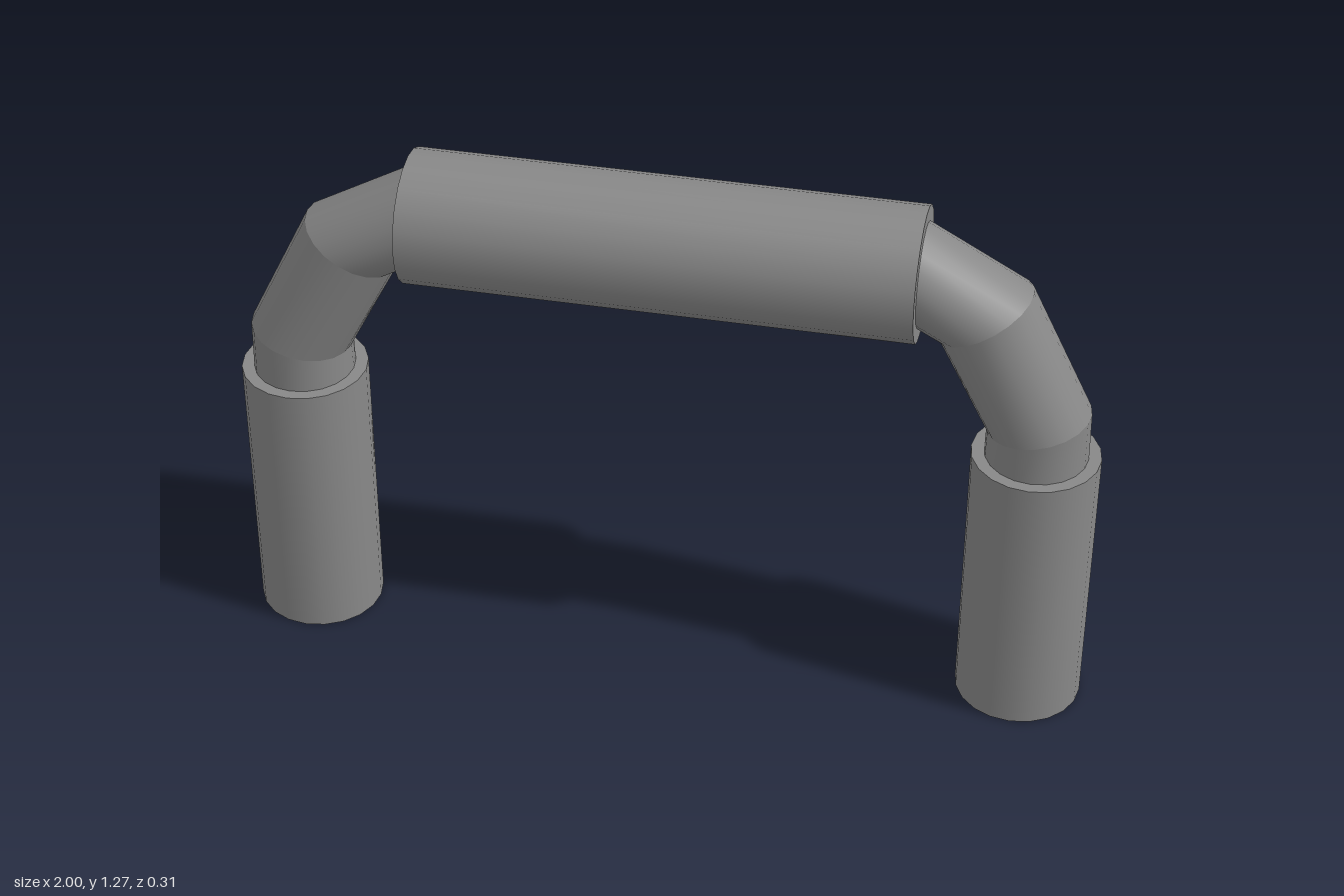
import * as THREE from 'three';

const SIDES = 20;
const material = new THREE.MeshStandardMaterial({ color: 0x888888 });

function cylinder(name, radius, length) {
  const mesh = new THREE.Mesh(new THREE.CylinderGeometry(radius, radius, length, SIDES), material);
  mesh.name = name;
  return mesh;
}

// Tube of straight sections through tilted circular rings, smooth around and creased at each bend
function bentTube(rings, radius) {
  const positions = [], index = [];
  const addRing = ({ x, y, tilt }) => {
    for (let j = 0; j < SIDES; j++) {
      const a = (j / SIDES) * Math.PI * 2, c = Math.cos(a) * radius;
      positions.push(x + c * Math.cos(tilt), y + c * Math.sin(tilt), Math.sin(a) * radius);
    }
  };
  for (let i = 0; i < rings.length - 1; i++) {
    const base = positions.length / 3;
    addRing(rings[i]);
    addRing(rings[i + 1]);
    for (let j = 0; j < SIDES; j++) {
      const a = base + j, b = base + (j + 1) % SIDES;
      index.push(a, a + SIDES, b, b, a + SIDES, b + SIDES);
    }
  }
  const geometry = new THREE.BufferGeometry();
  geometry.setAttribute('position', new THREE.Float32BufferAttribute(positions, 3));
  geometry.setIndex(index);
  geometry.computeVertexNormals();
  return geometry;
}

export function createModel() {
  const group = new THREE.Group();
  group.name = 'handle';

  // Foot sleeves
  for (const side of [1, -1]) {
    const sleeve = cylinder(side > 0 ? 'leftFootSleeve' : 'rightFootSleeve', 0.147, 0.675);
    sleeve.position.set(side * 0.853, 0.3375, 0);
    group.add(sleeve);
  }

  // Thick horizontal grip
  const grip = cylinder('grip', 0.154, 1.154);
  grip.rotation.z = Math.PI / 2;
  grip.position.y = 1.118;
  group.add(grip);

  // Bent inner tube, mirrored about the middle
  const half = [
    { x: 0.853, y: 0.6, tilt: 0 },
    { x: 0.853, y: 0.77, tilt: 0.235 },
    { x: 0.718, y: 1.038, tilt: 0.55 },
    { x: 0.575, y: 1.118, tilt: Math.PI / 2 },
  ];
  const mirrored = half.map(({ x, y, tilt }) => ({ x: -x, y, tilt: Math.PI - tilt })).reverse();
  const tube = new THREE.Mesh(bentTube([...half, ...mirrored], 0.119), material);
  tube.name = 'bentTube';
  group.add(tube);

  return group;
}
